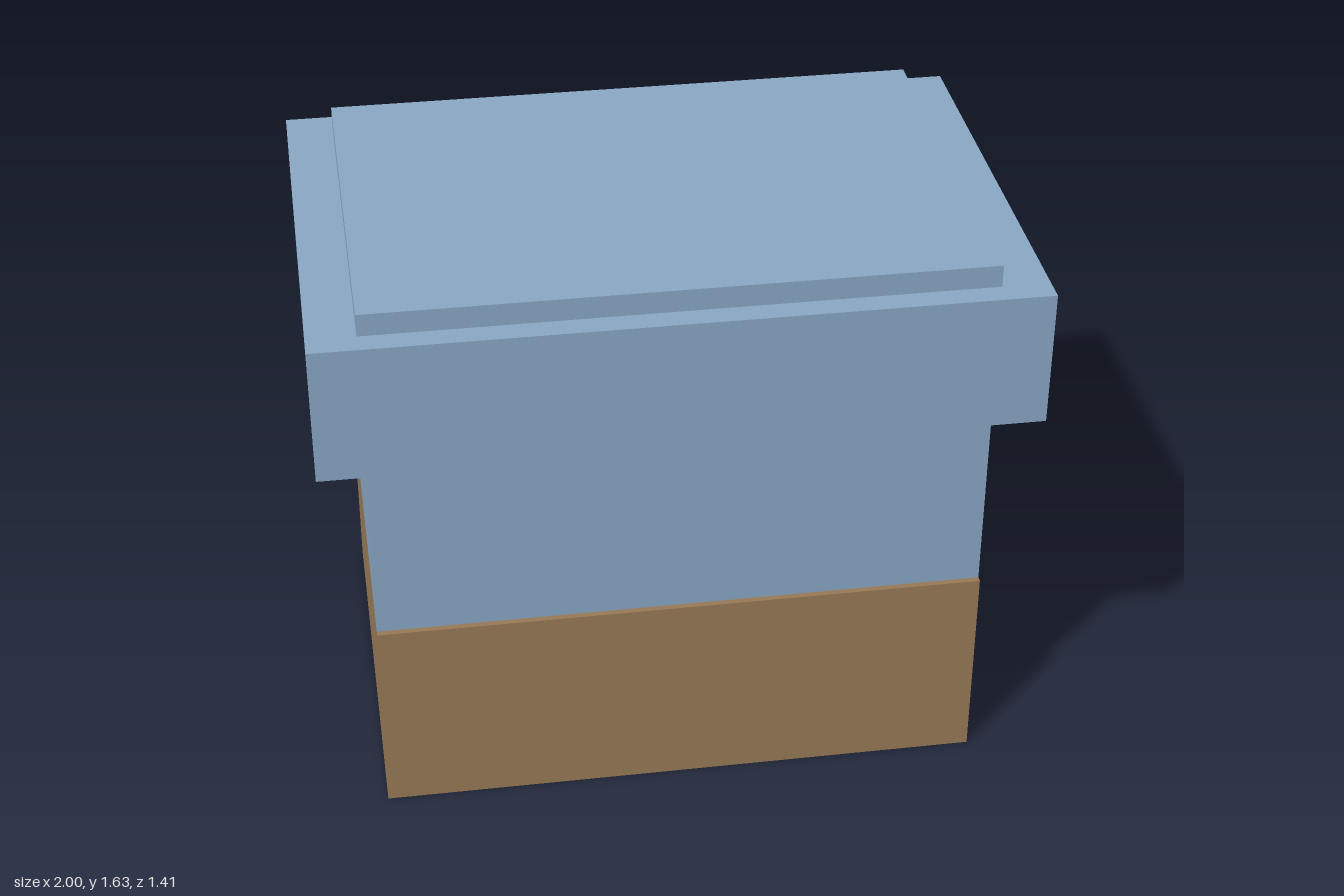
import * as THREE from 'three';

export function createModel() {
  const model = new THREE.Group();
  model.name = 'model';

  const mat = (name, color) => {
    const m = new THREE.MeshStandardMaterial({ color });
    m.name = name;
    return m;
  };
  const blue = mat('blue', 0x87a5c1);
  const brown = mat('brown', 0x957755);
  const bone = mat('bone', 0xc9c6be);
  const pink = mat('pink', 0xcbb2b8);

  // Box given by its extents along each axis
  const block = (name, material, [x0, x1], [y0, y1], [z0, z1], parent = model) => {
    const mesh = new THREE.Mesh(new THREE.BoxGeometry(x1 - x0, y1 - y0, z1 - z0), material);
    mesh.position.set((x0 + x1) / 2, (y0 + y1) / 2, (z0 + z1) / 2);
    mesh.name = name;
    parent.add(mesh);
    return mesh;
  };

  // Main masses: base, body rising through the wide brim
  block('base', brown, [-0.865, 0.865], [0, 0.6], [-0.572, 0.66]);
  block('body', blue, [-0.865, 0.865], [0.6, 1.635], [-0.557, 0.642]);
  block('brim', blue, [-1, 1], [1.17, 1.57], [-0.625, 0.71]);

  // Details on the back
  block('backPanel', brown, [-0.5, 0.5], [0.905, 1.37], [-0.655, -0.54]);
  block('sideBlock', bone, [0.34, 0.59], [0.69, 0.85], [-0.69, -0.55]);
  block('pinkBlock', pink, [-0.118, 0.115], [0.785, 1.02], [-0.705, -0.575]);
  block('post', bone, [-0.032, 0.035], [0, 0.6], [-0.705, -0.57]);

  // Sagging row of small blocks
  const row = new THREE.Group();
  row.name = 'blockRow';
  model.add(row);
  [1.403, 1.357, 1.322, 1.305, 1.305, 1.32, 1.357, 1.403].forEach((y, i) => {
    const x = 0.63 - i * 0.1665;
    block('rowBlock', bone, [x - 0.133, x], [y, y + 0.135], [-0.69, -0.555], row);
  });

  return model;
}
